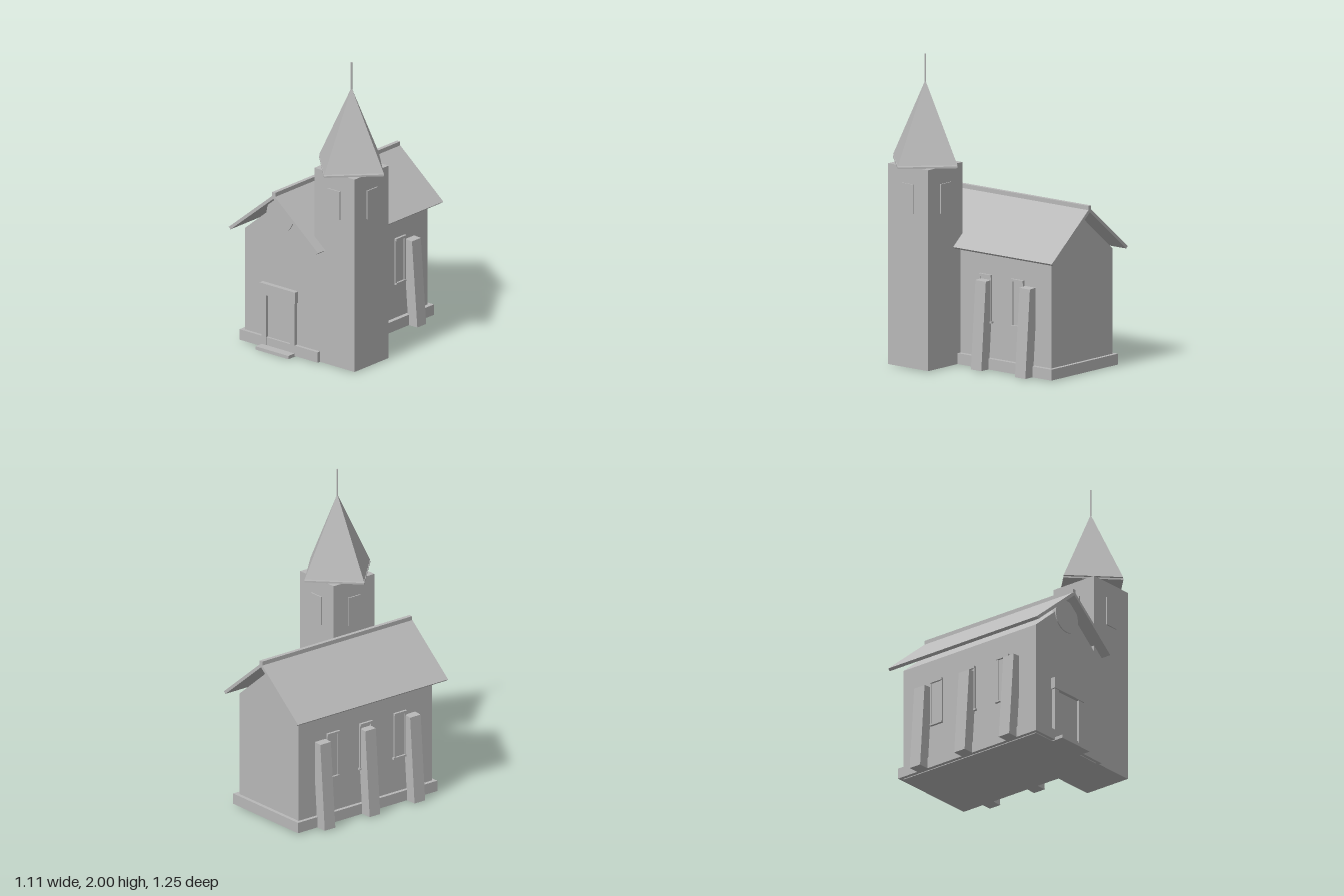
import * as THREE from 'three';

export function createModel() {
  const group = new THREE.Group();
  const stone = new THREE.MeshStandardMaterial({ color: 0xb8b8b8, flatShading: true });
  stone.name = 'stone grey';

  const add = (name, geometry) => {
    const mesh = new THREE.Mesh(geometry, stone);
    mesh.name = name;
    group.add(mesh);
    return mesh;
  };
  // Box given by its limits along each axis
  const box = (name, x0, x1, y0, y1, z0, z1) => {
    const mesh = add(name, new THREE.BoxGeometry(x1 - x0, y1 - y0, z1 - z0));
    mesh.position.set((x0 + x1) / 2, (y0 + y1) / 2, (z0 + z1) / 2);
    return mesh;
  };
  // Outline in x and y, extruded from z0 to z1
  const prism = (name, points, z0, z1) => {
    const shape = new THREE.Shape(points.map(([x, y]) => new THREE.Vector2(x, y)));
    const geometry = new THREE.ExtrudeGeometry(shape, { depth: z1 - z0, bevelEnabled: false });
    geometry.translate(0, 0, z0);
    return add(name, geometry);
  };

  const axis = -0.16; // centre line of the nave
  const front = 0.525, back = -0.56;

  // Nave walls, gable and plinth
  box('nave', axis - 0.295, axis + 0.295, 0, 0.755, back, front);
  prism('gable', [[axis - 0.295, 0.755], [axis + 0.295, 0.755], [axis, 1.0]], back, front);
  box('plinth', axis - 0.32, axis + 0.325, 0.005, 0.075, -0.585, 0.547);

  // Round window in the front gable
  const rose = add('roundWindow', new THREE.CylinderGeometry(0.108, 0.108, 0.03, 40));
  rose.rotation.x = Math.PI / 2;
  rose.position.set(axis, 0.912, front - 0.007);

  // Two roof slabs and the ridge cap
  for (const s of [-1, 1]) {
    const slab = [[0, 1.068], [0, 1.042], [0.353, 0.752], [0.369, 0.765]];
    const points = slab.map(([x, y]) => [axis + s * x, y]);
    prism(s < 0 ? 'rightRoof' : 'leftRoof', points, -0.625, 0.595);
  }
  box('ridgeCap', axis - 0.013, axis + 0.013, 1.055, 1.084, -0.625, 0.592);

  // Door with jambs, lintel and step
  box('door', -0.257, -0.06, 0.02, 0.36, 0.5, 0.532);
  for (const s of [-1, 1]) {
    const x = axis + s * 0.117;
    box('doorJamb', x - 0.018, x + 0.018, 0.02, 0.365, 0.5, 0.549);
  }
  box('doorLintel', axis - 0.146, axis + 0.146, 0.36, 0.435, 0.5, 0.557);
  box('step', axis - 0.135, axis + 0.135, 0, 0.022, 0.5, 0.608);

  // Leaning buttresses and framed windows along both sides
  for (const s of [-1, 1]) {
    const sideBox = (name, d0, d1, y0, y1, z0, z1) =>
      box(name, axis + Math.min(s * d0, s * d1), axis + Math.max(s * d0, s * d1), y0, y1, z0, z1);

    const buttresses = s < 0 ? [-0.385, -0.02, 0.345] : [-0.385, -0.02];
    for (const z of buttresses) {
      const outline = [[0.32, 0.005], [0.394, 0.005], [0.35, 0.573], [0.277, 0.578]];
      prism('buttress', outline.map(([x, y]) => [axis + s * x, y]), z - 0.043, z + 0.043);
    }

    const windows = s < 0 ? [-0.285, -0.018, 0.26] : [-0.285, -0.018];
    for (const z of windows) {
      sideBox('windowPane', 0.28, 0.298, 0.305, 0.6, z - 0.042, z + 0.042);
      for (const e of [-1, 1])
        sideBox('windowJamb', 0.28, 0.306, 0.305, 0.6, z + e * 0.044 - 0.006, z + e * 0.044 + 0.006);
      sideBox('windowHead', 0.28, 0.312, 0.595, 0.61, z - 0.05, z + 0.05);
      const w = z > -0.1 ? 0.06 : 0.05;
      sideBox('windowSill', 0.28, 0.312, 0.3, 0.312, z - w, z + w);
    }
  }

  // Bell tower with one shutter on each face
  const tx = 0.284, tz = 0.358, half = 0.166;
  box('tower', tx - half, tx + half, 0.005, 1.298, tz - half, tz + half);
  for (let i = 0; i < 4; i++) {
    const a = i * Math.PI / 2;
    const shutter = add('towerShutter', new THREE.BoxGeometry(0.1, 0.19, 0.016));
    shutter.rotation.y = a;
    shutter.position.set(tx + Math.sin(a) * half, 1.095, tz + Math.cos(a) * half);
  }

  // Spire turned by an eighth, its eave plate and the finial
  const eave = add('spireEave', new THREE.CylinderGeometry(0.268, 0.268, 0.011, 4));
  eave.position.set(tx, 1.304, tz);
  const spire = add('spire', new THREE.ConeGeometry(0.266, 0.512, 4));
  spire.position.set(tx, 1.574, tz);
  const finial = add('finial', new THREE.CylinderGeometry(0.005, 0.005, 0.2, 8));
  finial.position.set(tx, 1.9, tz);

  return group;
}
